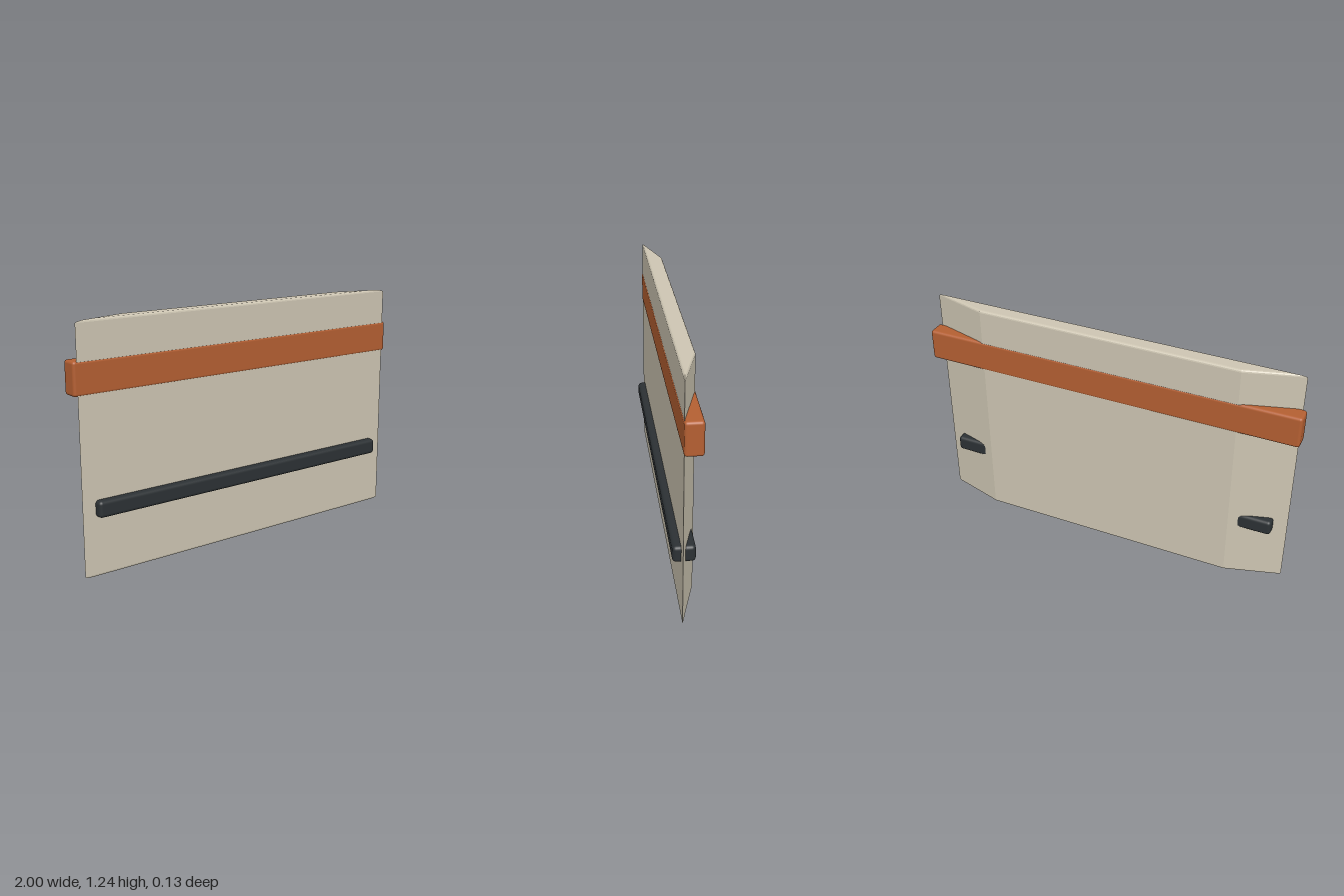
import * as THREE from 'three';
import { RoundedBoxGeometry } from 'three/addons/geometries/RoundedBoxGeometry.js';

const H = 1.24, FRONT = 0.023, BACK = -0.06; // panel height and depth
const FRONT_X = 0.98, BACK_X = 0.69; // half widths of the tapered section
const R = 0.012, STEPS = 3; // rounded top and bottom rims

// Tapered panel: rows of a box become trapezoid sections, inset near the rims
function panelGeometry() {
  const rim = [];
  for (let i = 0; i <= STEPS; i++) {
    const a = (i / STEPS) * Math.PI / 2;
    rim.push({ y: R * (1 - Math.sin(a)), inset: R * (1 - Math.cos(a)) });
  }
  // top row first, then mirrored to the bottom
  const rows = [
    ...rim.slice().reverse().map(r => ({ y: H - r.y, inset: r.inset })),
    ...rim.map(r => ({ y: r.y, inset: r.inset })),
  ];
  const n = rows.length - 1;
  const angle = Math.atan2(FRONT - BACK, FRONT_X - BACK_X);
  const frontShift = 1 / Math.tan(angle / 2), backShift = Math.tan(angle / 2);

  const geo = new THREE.BoxGeometry(2, 2, 2, 1, n, 1);
  const p = geo.attributes.position;
  for (let i = 0; i < p.count; i++) {
    const row = rows[Math.round((1 - p.getY(i)) / 2 * n)];
    const front = p.getZ(i) > 0, d = row.inset;
    const x = front ? FRONT_X - d * frontShift : BACK_X - d * backShift;
    p.setXYZ(i, Math.sign(p.getX(i)) * x, row.y, front ? FRONT - d : BACK + d);
  }
  // outer row of the box holds the inset rim, so the end caps stay flat
  const flat = geo.toNonIndexed();
  flat.computeVertexNormals();
  return flat;
}

// Rounded bar given by half width and its y and z ranges
function bar(name, halfX, [y0, y1], [z0, z1], radius, color) {
  const mesh = new THREE.Mesh(
    new RoundedBoxGeometry(halfX * 2, y1 - y0, z1 - z0, 3, radius),
    new THREE.MeshStandardMaterial({ color }));
  mesh.position.set(0, (y0 + y1) / 2, (z0 + z1) / 2);
  mesh.name = name;
  return mesh;
}

export function createModel() {
  const group = new THREE.Group();
  group.name = 'bandedPanel';

  const panel = new THREE.Mesh(panelGeometry(),
    new THREE.MeshStandardMaterial({ color: 0xcdc5b2, flatShading: true }));
  panel.name = 'panel';

  group.add(
    panel,
    // band running round the upper part
    bar('upperBand', 1, [0.89, 1.055], [-0.063, 0.026], 0.014, 0xb45f32),
    // rail standing out of the lower front
    bar('lowerRail', 0.91, [0.3, 0.383], [-0.046, 0.063], 0.018, 0x2c3134),
  );
  return group;
}
